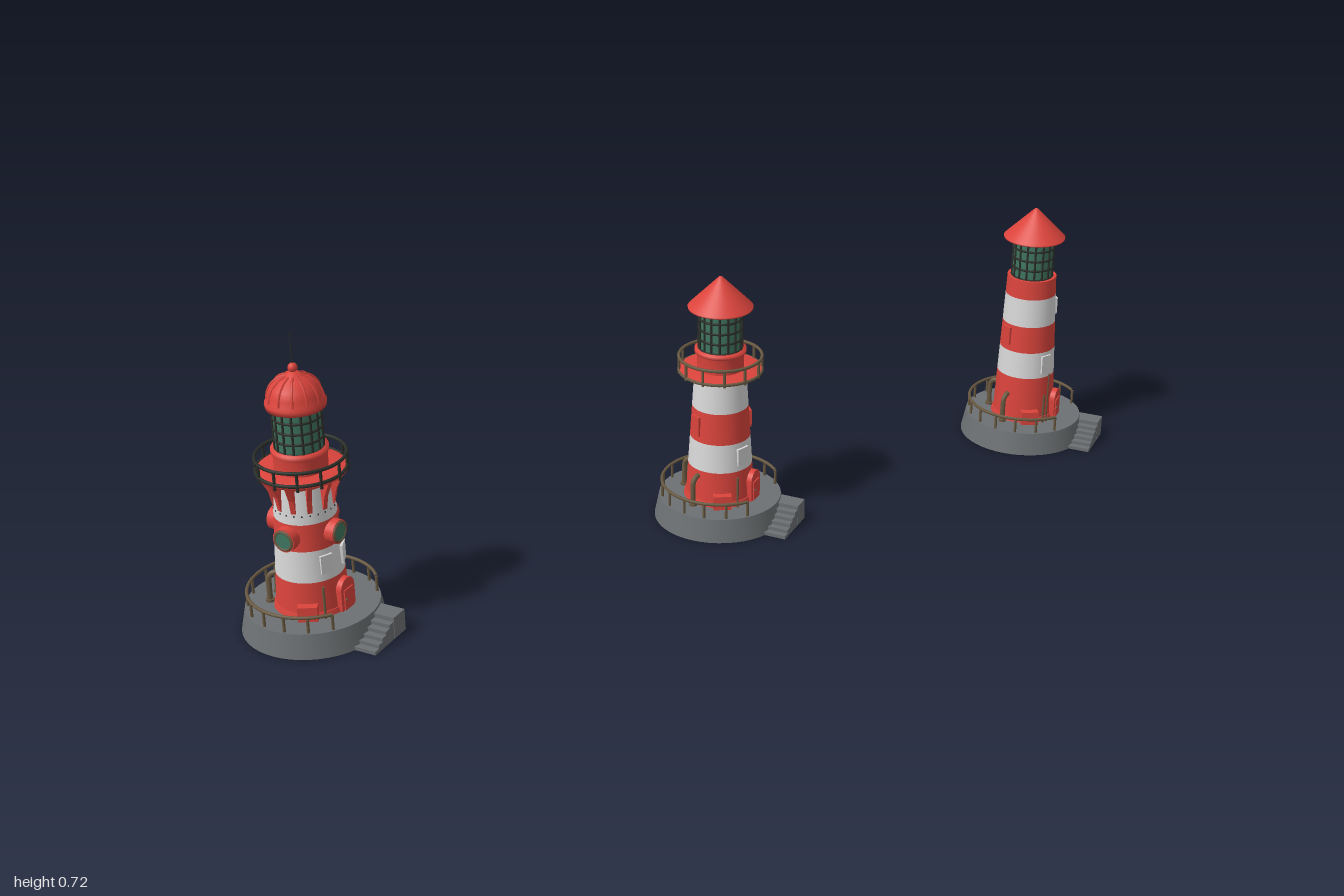
import * as THREE from 'three';

const mat = (name, color, side = THREE.FrontSide) => {
  const m = new THREE.MeshStandardMaterial({ color, side });
  m.name = name;
  return m;
};
const red = mat('red paint', 0xdb443c);
const white = mat('white paint', 0xd9d9d9);
const stone = mat('grey concrete', 0x6c7072);
const dark = mat('dark iron', 0x2b2f29);
const brown = mat('weathered brass', 0x6a5a42);
const glass = mat('green glass', 0x3f7560);
const FLOOR = 0.058;
const deg = Math.PI / 180;

function add(parent, name, geo, material, x = 0, y = 0, z = 0) {
  const m = new THREE.Mesh(geo, material);
  m.name = name;
  m.position.set(x, y, z);
  parent.add(m);
  return m;
}

// Group turned so its local +x points outward at the angle (0 = +x, 90 = +z)
function spoke(parent, name, angle) {
  const g = new THREE.Group();
  g.name = name;
  g.rotation.y = -angle * deg;
  parent.add(g);
  return g;
}

const cyl = (rTop, rBottom, h, n = 36) => new THREE.CylinderGeometry(rTop, rBottom, h, n);
const lathe = (pts, n = 36) => new THREE.LatheGeometry(pts.map(p => new THREE.Vector2(p[0], p[1])), n);

// Flat-lying ring or arc running from one angle to another
function ring(r, tube, from = 0, to = 360) {
  const g = new THREE.TorusGeometry(r, tube, 6, 48, (to - from) * deg);
  g.rotateX(Math.PI / 2);
  g.rotateY(-from * deg);
  return g;
}

// Posts with rails along an arc
function railing(parent, name, r, y, h, count, from, to, material, rails) {
  const g = new THREE.Group();
  g.name = name;
  parent.add(g);
  const steps = to - from < 360 ? count - 1 : count;
  for (let i = 0; i < count; i++) {
    const a = (from + (to - from) * i / steps) * deg;
    add(g, 'railPost', cyl(0.0035, 0.0035, h, 6), material, r * Math.cos(a), y + h / 2, r * Math.sin(a));
  }
  for (const f of rails) add(g, 'rail', ring(r, 0.004, from, to), material, 0, y + h * f, 0);
}

// Round concrete plinth with stairs climbing along its right-hand side
function plinth(g) {
  add(g, 'plinth', cyl(0.153, 0.165, FLOOR, 48), stone, 0, FLOOR / 2, 0);
  const n = 6;
  for (let i = 0; i < n; i++) {
    const h = 0.053 * (i + 1) / n, last = i === n - 1;
    const d = last ? 0.045 : 0.016;
    const z = last ? -0.0375 : 0.057 - i * 0.0155;
    add(g, 'stairStep', new THREE.BoxGeometry(0.075, h, d), stone, 0.168, h / 2, z);
  }
  railing(g, 'plinthRailing', 0.146, FLOOR, 0.038, 14, 38, 318, brown, [1]);
}

// Striped tapering wall; bands listed as heights with alternating colours
function wall(g, heights, r0, r1) {
  const y0 = heights[0], y1 = heights[heights.length - 1];
  const radius = y => r0 + (r1 - r0) * (y - y0) / (y1 - y0);
  for (let i = 0; i + 1 < heights.length; i++) {
    const a = heights[i], b = heights[i + 1];
    add(g, i % 2 ? 'whiteBand' : 'redBand', cyl(radius(b), radius(a), b - a), i % 2 ? white : red, 0, (a + b) / 2, 0);
  }
  add(g, 'footRing', cyl(r0 + 0.002, r0 + 0.005, 0.012), red, 0, FLOOR + 0.006, 0);
  return radius;
}

// Arched doorway, elbow pipes and a utility box round the foot
function footDetails(g, r0, turn) {
  const s = new THREE.Shape();
  s.moveTo(-0.026, 0);
  s.lineTo(0.026, 0);
  s.lineTo(0.026, 0.05);
  s.absarc(0, 0.05, 0.026, 0, Math.PI, false);
  const frame = new THREE.ExtrudeGeometry(s, { depth: 0.045, bevelEnabled: false, curveSegments: 10 });
  frame.rotateY(Math.PI / 2);
  add(g, 'doorway', frame, red, r0 - 0.033, FLOOR, -0.008);
  add(g, 'doorLeaf', new THREE.BoxGeometry(0.004, 0.05, 0.034), red, r0 + 0.013, FLOOR + 0.025, -0.008);
  add(g, 'doorHandle', new THREE.SphereGeometry(0.003, 8, 6), brown, r0 + 0.016, FLOOR + 0.027, 0.004);

  for (const a of [108 + turn, 180, 278]) {
    const p = spoke(g, 'elbowPipe', a);
    const path = new THREE.CatmullRomCurve3([[r0 - 0.02, 0.132], [r0 + 0.004, 0.132],
      [r0 + 0.015, 0.122], [r0 + 0.017, 0.1], [r0 + 0.017, FLOOR]].map(q => new THREE.Vector3(q[0], q[1], 0)));
    add(p, 'pipe', new THREE.TubeGeometry(path, 16, 0.0065, 8), brown);
    add(p, 'pipeFlange', cyl(0.01, 0.01, 0.006, 10), brown, r0 + 0.017, FLOOR + 0.003, 0);
  }
  const b = spoke(g, 'utilityBox', 62);
  add(b, 'boxBody', new THREE.BoxGeometry(0.03, 0.036, 0.045), red, r0 + 0.004, FLOOR + 0.018, 0);
  const v = spoke(g, 'ventPipe', 38);
  add(v, 'ventTube', cyl(0.003, 0.003, 0.08, 8), brown, r0 + 0.012, FLOOR + 0.04, 0);
}

// Thin access panels lying on the wall
function panels(g, radius, list) {
  for (const [angle, y, w, h, m] of list) {
    const p = spoke(g, 'accessPanel', angle);
    add(p, 'panel', new THREE.BoxGeometry(0.009, h, w), m, radius(y) - 0.001, y, 0);
  }
}

// Glazed lantern room with a grid of bars
function lantern(g, y0, y1, r) {
  const h = y1 - y0, n = 16;
  add(g, 'lanternGlass', cyl(r - 0.003, r - 0.003, h, 32), glass, 0, y0 + h / 2, 0);
  for (let i = 0; i < n; i++) {
    const a = i / n * Math.PI * 2;
    add(g, 'lanternBar', cyl(0.0028, 0.0028, h, 6), dark, (r - 0.002) * Math.cos(a), y0 + h / 2, (r - 0.002) * Math.sin(a));
  }
  for (let i = 0; i <= 4; i++) add(g, 'lanternHoop', ring(r - 0.002, 0.003), dark, 0, y0 + h * i / 4, 0);
}

function coneRoof(g, y) {
  add(g, 'roof', lathe([[0, y], [0.079, y], [0.08, y + 0.004], [0.004, y + 0.08], [0, y + 0.081]], 40), red);
}

// Round-windowed tower with a bracketed gallery and a dome
function domedLighthouse() {
  const g = new THREE.Group();
  plinth(g);
  const radius = wall(g, [FLOOR, 0.145, 0.222, 0.287, 0.372], 0.083, 0.066);
  footDetails(g, 0.08, 45);
  panels(g, radius, [[-25, 0.185, 0.035, 0.045, white], [25, 0.185, 0.03, 0.045, white], [200, 0.33, 0.03, 0.04, white]]);
  // Portholes
  for (let a = 0; a < 360; a += 90) {
    const p = spoke(g, 'porthole', a);
    add(p, 'portholeCasing', cyl(0.028, 0.03, 0.035, 20).rotateZ(-Math.PI / 2), red, 0.071, 0.254, 0);
    add(p, 'portholeRim', new THREE.TorusGeometry(0.022, 0.004, 6, 20).rotateY(Math.PI / 2), brown, 0.088, 0.254, 0);
    add(p, 'portholeGlass', cyl(0.021, 0.021, 0.004, 20).rotateZ(-Math.PI / 2), glass, 0.088, 0.254, 0);
  }
  // Rivets under the gallery
  for (let i = 0; i < 24; i++) {
    const p = spoke(g, 'rivet', i * 15);
    add(p, 'rivetHead', new THREE.SphereGeometry(0.0022, 6, 4), dark, radius(0.308), 0.308, 0);
  }
  // Gallery brackets
  const s = new THREE.Shape();
  [[0.06, 0.315], [0.071, 0.315], [0.078, 0.35], [0.096, 0.388], [0.06, 0.388]]
    .forEach((p, i) => (i ? s.lineTo(p[0], p[1]) : s.moveTo(p[0], p[1])));
  const bracket = new THREE.ExtrudeGeometry(s, { depth: 0.011, bevelEnabled: false }).translate(0, 0, -0.0055);
  for (let i = 0; i < 12; i++) add(spoke(g, 'galleryBracket', i * 30 + 15), 'bracket', bracket, red);
  add(g, 'galleryFlare', lathe([[0.064, 0.365], [0.07, 0.378], [0.09, 0.388], [0.101, 0.39], [0.101, 0.4], [0.06, 0.4]]), red);
  railing(g, 'galleryRailing', 0.101, 0.385, 0.045, 12, 0, 360, dark, [0.3, 1]);
  add(g, 'lanternBase', lathe([[0.06, 0.398], [0.06, 0.435], [0.064, 0.44], [0.064, 0.45], [0.05, 0.453]]), red);
  lantern(g, 0.45, 0.55, 0.056);
  // Ribbed dome and finial
  const dome = [[0, 0.548], [0.067, 0.548], [0.068, 0.56], [0.062, 0.566], [0.06, 0.58], [0.052, 0.598],
    [0.036, 0.613], [0.018, 0.62], [0.012, 0.628], [0, 0.63]];
  add(g, 'dome', lathe(dome), red);
  for (let i = 0; i < 12; i++) {
    const path = new THREE.CatmullRomCurve3(dome.slice(3, 8).map(p => new THREE.Vector3(p[0], p[1], 0)));
    add(spoke(g, 'domeRib', i * 30), 'rib', new THREE.TubeGeometry(path, 10, 0.003, 5), red);
  }
  add(g, 'finialBall', new THREE.SphereGeometry(0.011, 16, 10), red, 0, 0.638, 0);
  add(g, 'antenna', cyl(0.001, 0.0018, 0.08, 6), dark, 0, 0.682, 0);
  return g;
}

// Tapered tower with an open gallery and a cone roof
function galleryLighthouse() {
  const g = new THREE.Group();
  plinth(g);
  const radius = wall(g, [FLOOR, 0.148, 0.222, 0.303, 0.392], 0.086, 0.064);
  footDetails(g, 0.082, 0);
  panels(g, radius, [[120, 0.262, 0.03, 0.05, red], [20, 0.185, 0.035, 0.045, white], [-40, 0.26, 0.035, 0.045, red], [200, 0.34, 0.03, 0.045, white]]);
  add(g, 'galleryDeck', lathe([[0.06, 0.388], [0.098, 0.391], [0.101, 0.394], [0.101, 0.4], [0.058, 0.402]]), red);
  railing(g, 'galleryRailing', 0.102, 0.39, 0.043, 12, 0, 360, brown, [0.15, 1]);
  add(g, 'lanternBase', lathe([[0.058, 0.398], [0.057, 0.44], [0.064, 0.445], [0.064, 0.453], [0.05, 0.457]]), red);
  lantern(g, 0.455, 0.56, 0.055);
  coneRoof(g, 0.558);
  return g;
}

// Slim five-banded tower with a cone roof
function slimLighthouse() {
  const g = new THREE.Group();
  plinth(g);
  const radius = wall(g, [FLOOR, 0.183, 0.255, 0.328, 0.405, 0.455], 0.081, 0.064);
  footDetails(g, 0.079, 0);
  panels(g, radius, [[125, 0.295, 0.03, 0.05, red], [30, 0.22, 0.03, 0.05, white], [-35, 0.365, 0.03, 0.045, white], [210, 0.22, 0.03, 0.045, white]]);
  add(spoke(g, 'mast', 30), 'mastPole', cyl(0.002, 0.002, 0.14, 6), brown, 0.09, FLOOR + 0.07, 0);
  lantern(g, 0.455, 0.56, 0.055);
  coneRoof(g, 0.558);
  return g;
}

export function createModel() {
  const root = new THREE.Group();
  root.name = 'lighthouses';
  for (const [name, make, x, z] of [
    ['domedLighthouse', domedLighthouse, -0.603, 0.835],
    ['galleryLighthouse', galleryLighthouse, 0.014, -0.045],
    ['slimLighthouse', slimLighthouse, 0.56, -0.835],
  ]) {
    const g = make();
    g.name = name;
    g.position.set(x, 0, z);
    root.add(g);
  }
  return root;
}
